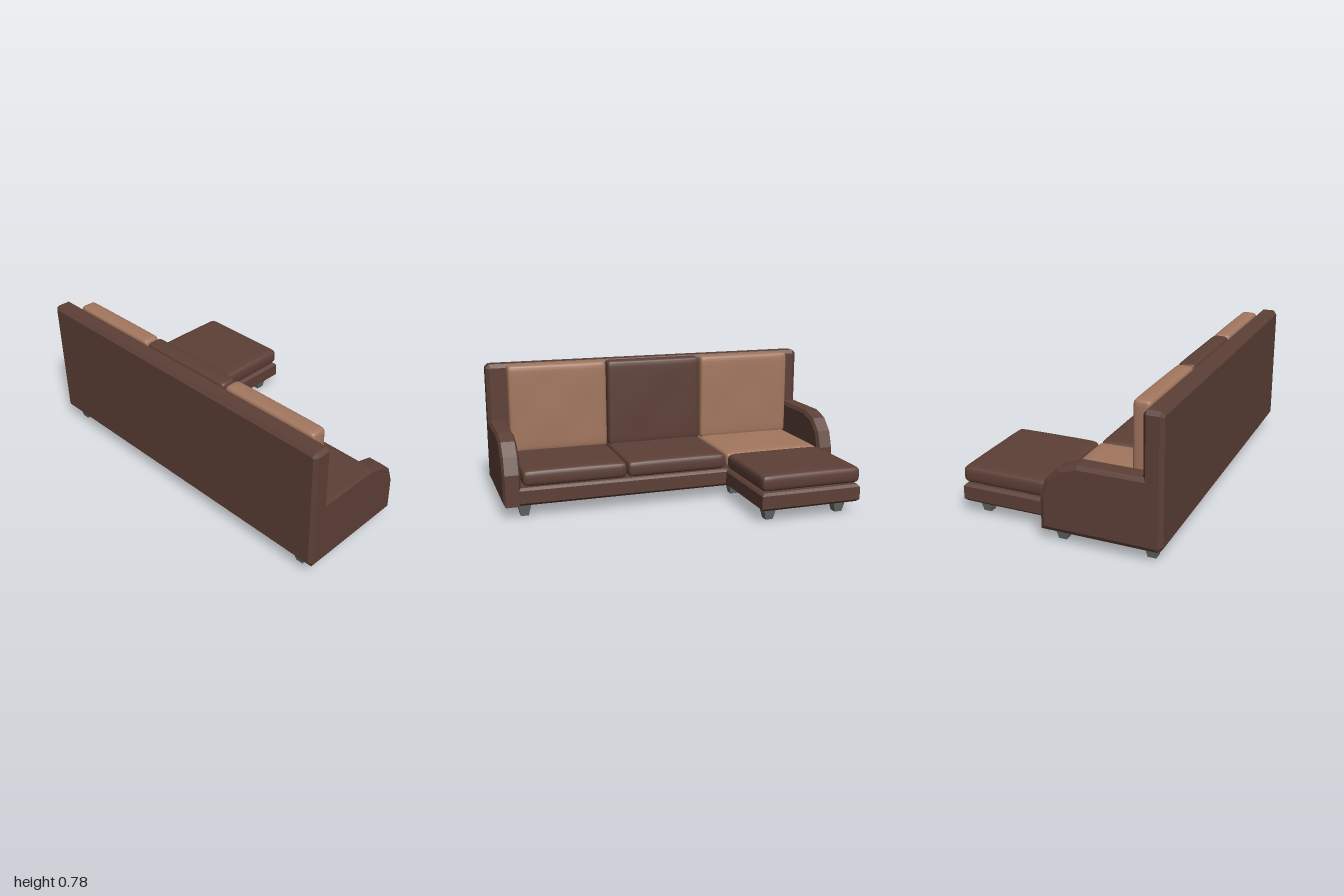
import * as THREE from 'three';
import { mergeVertices } from 'three/addons/utils/BufferGeometryUtils.js';

const material = (name, color) => {
  const m = new THREE.MeshStandardMaterial({ color });
  m.name = name;
  return m;
};

// Extruded outline with a single chamfer, centred on its depth; outer size is kept.
function chamferExtrude(points, depth, size, thickness) {
  const shape = new THREE.Shape(points.map(([x, y]) => new THREE.Vector2(x, y)));
  const geo = new THREE.ExtrudeGeometry(shape, {
    depth: depth - 2 * thickness, bevelEnabled: true, bevelSegments: 1,
    bevelSize: size, bevelOffset: -size, bevelThickness: thickness,
  });
  return geo.translate(0, 0, -depth / 2 + thickness);
}

const rectangle = (x0, x1, y0, y1) => [[x0, y0], [x1, y0], [x1, y1], [x0, y1]];

// Soft cushion lying flat: rounded box whose thickness tapers to its rim.
function cushionGeometry(w, h, d, r, seed) {
  let geo = new THREE.BoxGeometry(2, 2, 2, 18, 8, 18);
  geo.deleteAttribute('normal');
  geo.deleteAttribute('uv');
  geo = mergeVertices(geo);
  const pos = geo.attributes.position;
  const half = new THREE.Vector3(w / 2, h / 2, d / 2);
  const inner = half.clone().subScalar(r);
  const p = new THREE.Vector3(), core = new THREE.Vector3();
  const warp = (t) => Math.sin(t * Math.PI / 2);
  for (let i = 0; i < pos.count; i++) {
    p.fromBufferAttribute(pos, i);
    p.set(warp(p.x), warp(p.y), warp(p.z)).multiply(half);
    core.copy(p).clamp(inner.clone().negate(), inner);
    p.sub(core).setLength(r).add(core);
    const u = p.x / half.x, v = p.z / half.z;
    // Sagging rim and faint creases on the upper side
    if (p.y > 0) {
      p.y *= 1 - 0.12 * (u ** 4 + v ** 4) / 2;
      p.y += 0.003 * Math.sin(4 * u + seed) * Math.cos(3 * v + seed) * (1 - u * u) * (1 - v * v);
    }
    pos.setXYZ(i, p.x, p.y, p.z);
  }
  geo.computeVertexNormals();
  return geo;
}

export function createModel() {
  const sofa = new THREE.Group();
  sofa.name = 'cornerSofa';
  const brown = material('darkBrownUpholstery', 0x5d4037);
  const tan = material('tanUpholstery', 0xa3775f);
  const grey = material('greyLegs', 0x666a68);

  const add = (name, geo, mat, x = 0, y = 0, z = 0) => {
    const mesh = new THREE.Mesh(geo, mat);
    mesh.name = name;
    mesh.position.set(x, y, z);
    sofa.add(mesh);
    return mesh;
  };

  // Tall back panel with clipped corners
  const c = 0.02;
  add('backPanel', chamferExtrude([
    [-1 + c, 0.07], [1 - c, 0.07], [1, 0.07 + c], [1, 0.775 - c],
    [1 - c, 0.775], [-1 + c, 0.775], [-1, 0.775 - c], [-1, 0.07 + c],
  ], 0.103, 0.022, 0.018), brown, 0, 0, 0.5255);

  // Sloping arms: outline in z and y, turned to run across x
  const armOutline = [
    [0.56, 0.07], [0.56, 0.445], [0.14, 0.445], [0.04, 0.415],
    [-0.03, 0.345], [-0.062, 0.25], [-0.062, 0.07],
  ];
  for (const side of [1, -1]) {
    const geo = chamferExtrude(armOutline, 0.1, 0.022, 0.012).rotateY(-Math.PI / 2);
    add(side > 0 ? 'leftArm' : 'rightArm', geo, brown, side * 0.95, 0, 0);
  }

  // Seat base and chaise base
  const slab = (name, x0, x1, z0, z1) => add(name,
    chamferExtrude(rectangle(x0, x1, -z1, -z0), 0.1, 0.014, 0.014).rotateX(-Math.PI / 2),
    brown, 0, 0.121, 0);
  slab('seatBase', -0.95, 0.95, -0.062, 0.55);
  slab('chaiseBase', -0.89, -0.3, -0.575, -0.03);

  // Seat and back cushions, three across
  [-0.595, 0, 0.595].forEach((x, i) => {
    add('seatCushion', cushionGeometry(0.592, 0.096, 0.535, 0.03, i),
      i === 0 ? tan : brown, x, 0.224, 0.203);
    const back = cushionGeometry(0.588, 0.1, 0.52, 0.025, i + 2).rotateX(-Math.PI / 2);
    add('backCushion', back, i === 1 ? brown : tan, x, 0.516, 0.425);
  });

  // Chaise cushion
  add('chaiseCushion', cushionGeometry(0.592, 0.096, 0.51, 0.03, 5), brown, -0.595, 0.226, -0.32);

  // Tapered square legs
  const legGeo = new THREE.CylinderGeometry(0.055, 0.031, 0.08, 4, 1).rotateY(Math.PI / 4).toNonIndexed();
  legGeo.computeVertexNormals();
  const legs = [
    [0.88, 0.5], [-0.905, 0.5], [0.88, 0.01], [-0.91, 0.025],
    [-0.375, 0.02], [-0.375, -0.48], [-0.8, -0.48],
  ];
  for (const [x, z] of legs) add('leg', legGeo, grey, x, 0.04, z);

  return sofa;
}
